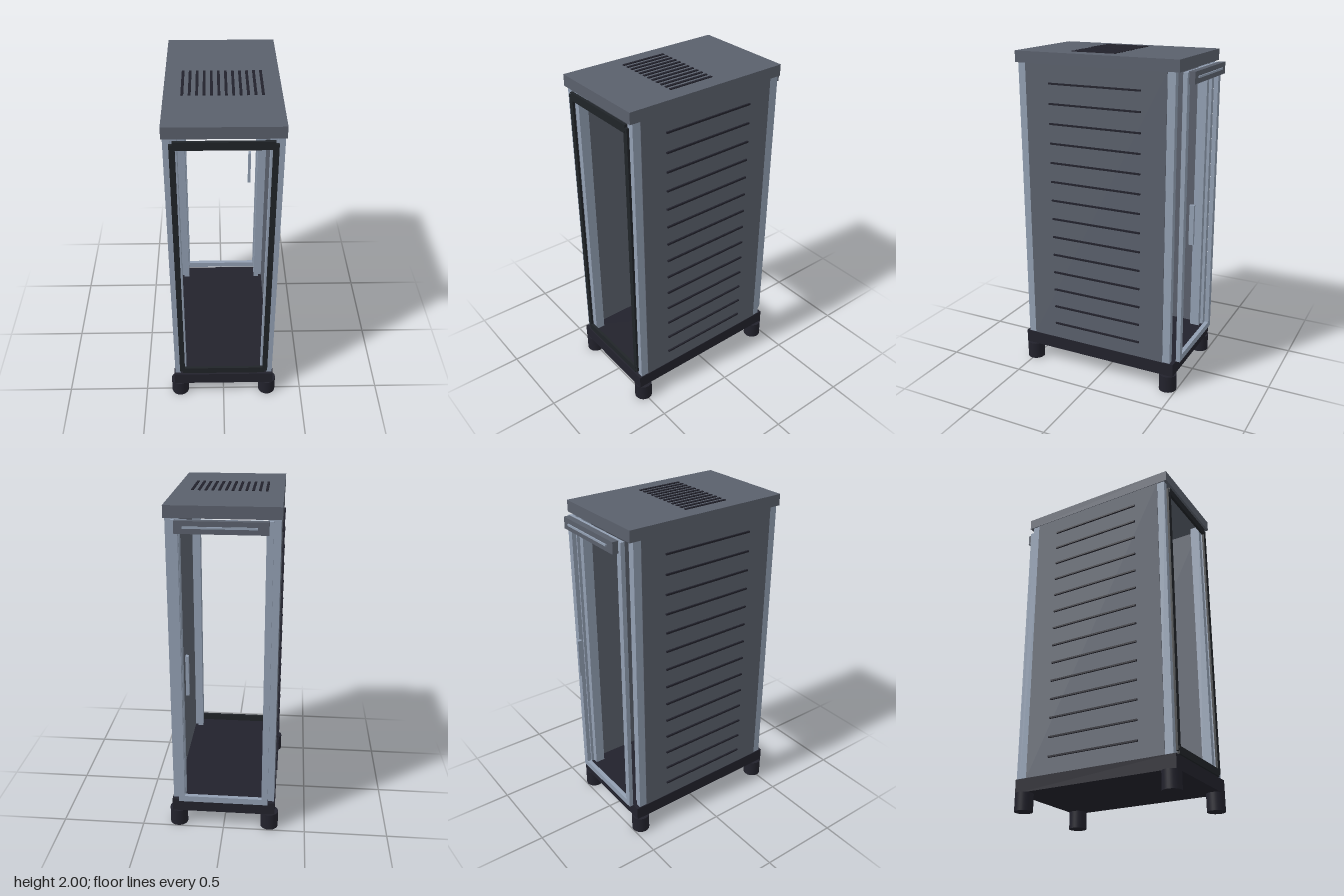
import * as THREE from 'three';

const mat = (name, color) => {
  const m = new THREE.MeshStandardMaterial({ color });
  m.name = name;
  return m;
};

export function createModel() {
  const slate = mat('slate grey', 0x5a606c);
  const steel = mat('light steel', 0x929fb2);
  const dark = mat('dark plastic', 0x22222c);
  const black = mat('door frame black', 0x202428);

  const root = new THREE.Group();
  root.name = 'cabinet';

  // Box given by its minimum and maximum on each axis
  const box = (name, material, [x0, x1], [y0, y1], [z0, z1], parent = root) => {
    const mesh = new THREE.Mesh(new THREE.BoxGeometry(x1 - x0, y1 - y0, z1 - z0), material);
    mesh.position.set((x0 + x1) / 2, (y0 + y1) / 2, (z0 + z1) / 2);
    mesh.name = name;
    parent.add(mesh);
    return mesh;
  };
  // Same box on both sides, given for +x
  const pair = (name, material, [x0, x1], y, z, parent = root) => {
    box(name + 'Left', material, [x0, x1], y, z, parent);
    box(name + 'Right', material, [-x1, -x0], y, z, parent);
  };
  const group = (name) => {
    const g = new THREE.Group();
    g.name = name;
    root.add(g);
    return g;
  };

  // Base and roof slabs
  box('base', dark, [-0.314, 0.314], [0.105, 0.186], [-0.487, 0.546]);
  box('roof', slate, [-0.314, 0.314], [1.928, 1.995], [-0.487, 0.546]);

  // Feet
  const feet = group('feet');
  const footGeo = new THREE.CylinderGeometry(0.054, 0.054, 0.105, 32);
  for (const x of [-0.281, 0.281]) {
    for (const z of [-0.444, 0.501]) {
      const foot = new THREE.Mesh(footGeo, dark);
      foot.position.set(x, 0.0525, z);
      foot.name = 'foot';
      feet.add(foot);
    }
  }

  // Stepped corner posts
  const posts = group('cornerPosts');
  const postY = [0.186, 1.928];
  pair('frontPost', steel, [0.272, 0.308], postY, [0.47, 0.528], posts);
  pair('frontPostStep', steel, [0.238, 0.272], postY, [0.45, 0.51], posts);
  pair('backPost', steel, [0.272, 0.308], postY, [-0.463, -0.405], posts);
  pair('backPostStep', steel, [0.238, 0.272], postY, [-0.445, -0.385], posts);

  // Side panels with horizontal louvre slots
  pair('sidePanel', slate, [0.292, 0.311], postY, [-0.416, 0.48]);
  const sideVents = group('sideVents');
  for (let i = 0; i < 14; i++) {
    const y = 0.288 + i * 0.1177;
    pair('sideSlot', dark, [0.308, 0.321], [y - 0.005, y + 0.005], [-0.263, 0.322], sideVents);
  }

  // Roof vent slots
  const roofVent = group('roofVent');
  for (let i = 0; i < 12; i++) {
    const x = -0.215 + i * 0.0388;
    box('roofSlot', dark, [x - 0.0075, x + 0.0075], [1.99, 2.0], [-0.064, 0.219], roofVent);
  }

  // Front door frame, open in the middle
  const frontDoor = group('frontDoor');
  pair('frontStile', black, [0.246, 0.277], [0.212, 1.892], [0.528, 0.542], frontDoor);
  box('frontTopRail', black, [-0.26, 0.26], [1.86, 1.908], [0.527, 0.543], frontDoor);
  box('frontBottomRail', black, [-0.26, 0.26], [0.196, 0.24], [0.527, 0.543], frontDoor);

  // Back door frame with its pull handle
  const backDoor = group('backDoor');
  const backZ = [-0.515, -0.489];
  pair('backStile', steel, [0.233, 0.27], [0.19, 1.924], backZ, backDoor);
  box('backTopRail', steel, [-0.233, 0.233], [1.885, 1.924], backZ, backDoor);
  box('backBottomRail', steel, [-0.233, 0.233], [0.19, 0.228], backZ, backDoor);
  box('handle', steel, [0.185, 0.203], [0.93, 1.17], [-0.55, -0.522], backDoor);

  // Housing across the top of the back door, with a thin trim bar
  box('backHousing', slate, [-0.248, 0.248], [1.86, 1.928], [-0.549, -0.512]);
  box('housingTrim', steel, [-0.19, 0.202], [1.889, 1.9], [-0.556, -0.547]);

  return root;
}
